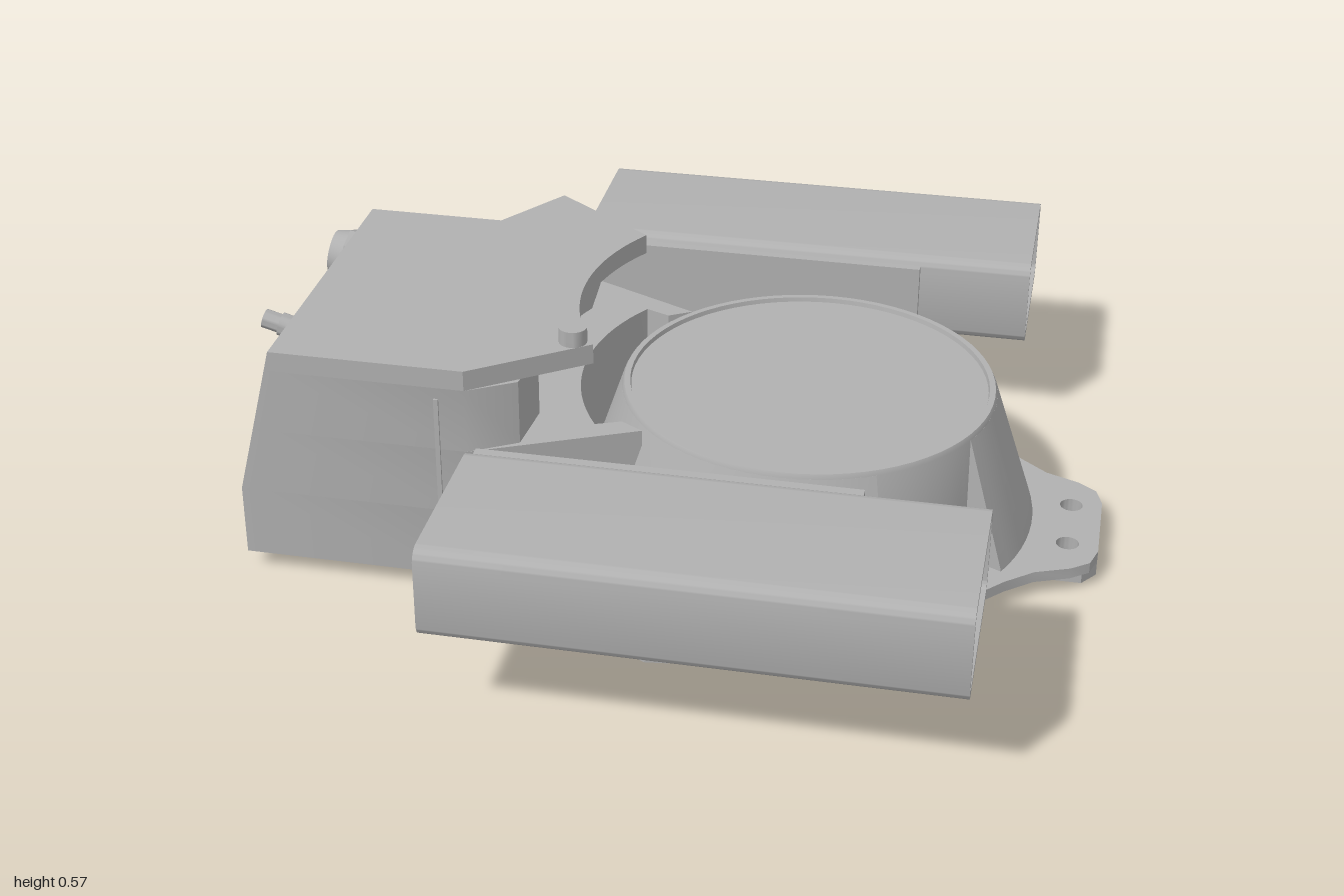
import * as THREE from 'three';
import { toCreasedNormals } from 'three/addons/utils/BufferGeometryUtils.js';

const CX = 0.345; // axis of the round base
const metal = new THREE.MeshStandardMaterial({ color: 0xb0b0b0, side: THREE.DoubleSide });
metal.name = 'greyMetal';

export function createModel() {
  const root = new THREE.Group();
  root.name = 'sensorUnit';

  const add = (name, geo, x = 0, y = 0, z = 0, parent = root) => {
    const m = new THREE.Mesh(toCreasedNormals(geo, 0.6), metal);
    m.name = name;
    m.position.set(x, y, z);
    parent.add(m);
    return m;
  };
  const shapeOf = pts => new THREE.Shape(pts.map(p => new THREE.Vector2(p[0], p[1])));
  const hole = (shape, x, y, r) => shape.holes.push(new THREE.Path().absarc(x, y, r, 0, Math.PI * 2, true));
  // Plan outline (x, z) raised from y0 to y1
  const slab = (shape, y0, y1) => {
    const g = new THREE.ExtrudeGeometry(shape, { depth: y1 - y0, bevelEnabled: false, curveSegments: 16 });
    return g.rotateX(Math.PI / 2).translate(0, y1, 0);
  };
  const box = (name, x0, x1, y0, y1, z0, z1) =>
    add(name, new THREE.BoxGeometry(x1 - x0, y1 - y0, z1 - z0), (x0 + x1) / 2, (y0 + y1) / 2, (z0 + z1) / 2);
  // Cylinder between two points
  const rod = (name, a, b, r, sides = 24, r2 = r) => {
    const A = new THREE.Vector3(...a), B = new THREE.Vector3(...b), d = B.clone().sub(A);
    const m = add(name, new THREE.CylinderGeometry(r2, r, d.length(), sides));
    m.position.copy(A).add(B).multiplyScalar(0.5);
    m.quaternion.setFromUnitVectors(new THREE.Vector3(0, 1, 0), d.normalize());
    return m;
  };
  const lathe = (pts, seg = 72, start = 0, len = Math.PI * 2) =>
    new THREE.LatheGeometry(pts.map(p => new THREE.Vector2(p[0], p[1])), seg, start, len);

  // Round base: flange, drum with a recessed lid
  add('baseFlange', lathe([[0, 0.02], [0.5, 0.02], [0.5, 0.035], [0.52, 0.035], [0.52, 0.06], [0.4, 0.06]]), CX);
  add('drum', lathe([[0.415, 0.05], [0.41, 0.35], [0.405, 0.36], [0.392, 0.36], [0.39, 0.35], [0, 0.35]]), CX);

  // Sloping skirt, interrupted by two pockets
  const wedge = [[0.38, 0.05], [0.508, 0.05], [0.505, 0.065], [0.41, 0.35], [0.38, 0.35]];
  const rad = Math.PI / 180;
  for (const [a0, a1] of [[-26, 26], [62, 298]]) {
    add('skirt', lathe([...wedge, wedge[0]], Math.round((a1 - a0) / 4), Math.PI / 2 - a1 * rad, (a1 - a0) * rad), CX);
    for (const a of [a0, a1]) add('skirtEnd', new THREE.ShapeGeometry(shapeOf(wedge)).rotateY(-a * rad), CX);
  }

  // Three mounting lugs with foot pads
  for (let i = 0; i < 3; i++) {
    const lug = new THREE.Group();
    lug.name = 'mountingLug';
    lug.position.x = CX;
    lug.rotation.y = (i * Math.PI * 2) / 3;
    root.add(lug);
    const half = [[0.32, 0.41], [0.41, 0.32], [0.465, 0.26], [0.525, 0.21], [0.6, 0.18], [0.64, 0.15], [0.655, 0.1]];
    const mirror = pts => [...pts, ...pts.slice().reverse().map(p => [p[0], -p[1]])];
    const plate = shapeOf(mirror(half));
    const pad = shapeOf(mirror([[0.5, 0.14], [0.625, 0.14], [0.655, 0.1]]));
    for (const s of [plate, pad]) for (const z of [-0.08, 0.08]) hole(s, 0.588, z, 0.025);
    add('lugPlate', slab(plate, 0.035, 0.06), 0, 0, 0, lug);
    add('footPad', slab(pad, 0, 0.035), 0, 0, 0, lug);
  }

  // Housing: stacked plans with a concave face around the drum and a sloped end
  const arc = (R, zt) => {
    const a = Math.asin(zt / R), pts = [];
    for (let i = 0; i <= 20; i++) {
      const t = a - (2 * a * i) / 20;
      pts.push([CX - R * Math.cos(t), R * Math.sin(t)]);
    }
    return pts;
  };
  const housing = (name, y0, y1, shoulder, R, zt, notched) => {
    const back = notched ? [[-0.42, -0.28], [-0.815, -0.28]] : [[-0.815, -0.45]];
    const front = [[-0.815, 0.44], [-0.31, 0.44], ...shoulder];
    const pts = [...front, ...arc(R, zt), ...shoulder.map(p => [p[0], -p[1]]), [-0.31, -0.445], ...back];
    const g = slab(shapeOf(pts), y0, y1), p = g.attributes.position;
    for (let i = 0; i < p.count; i++)
      if (p.getX(i) < -0.7) p.setX(i, p.getX(i) + Math.max(0, p.getY(i) - 0.2) * 0.25);
    g.computeVertexNormals();
    add(name, g);
  };
  housing('housingBase', 0.04, 0.2, [], 0.5, 0.3, false);
  housing('housingMiddle', 0.2, 0.35, [], 0.5, 0.3, true);
  housing('housingUpper', 0.35, 0.495, [[-0.21, 0.38]], 0.6, 0.25, true);
  housing('housingCap', 0.495, 0.54, [], 0.5, 0.27, true);
  box('frontSeam', -0.375, -0.365, 0.1, 0.47, 0.438, 0.445);
  rod('capKnob', [-0.12, 0.53, 0.265], [-0.12, 0.575, 0.265], 0.03);

  for (const s of [-1, 1]) {
    // Arm joining the housing to the drum
    const arm = [[-0.31, 0.44 * s], [0.03, 0.28 * s], [-0.02, 0.25 * s], [-0.31, 0.37 * s]];
    add('supportArm', slab(shapeOf(arm), 0.06, 0.35));

    // Hollow rectangular side rail
    const w = 0.1975, h = 0.1;
    const outline = (path, a, b, r) => {
      path.moveTo(a - r, -b);
      path.absarc(a - r, -b + r, r, -Math.PI / 2, 0, false);
      path.absarc(a - r, b - r, r, 0, Math.PI / 2, false);
      path.absarc(-a + r, b - r, r, Math.PI / 2, Math.PI, false);
      path.absarc(-a + r, -b + r, r, Math.PI, Math.PI * 1.5, false);
      path.closePath();
      return path;
    };
    const section = outline(new THREE.Shape(), w, h, 0.03);
    section.holes.push(outline(new THREE.Path(), w - 0.015, h - 0.015, 0.018));
    const rail = new THREE.ExtrudeGeometry(section, { depth: 1.065, bevelEnabled: false, curveSegments: 6 });
    add('sideRail', rail.rotateY(Math.PI / 2), -0.28, 0.315, 0.726 * s);

    // Bracket plate with two hanging tabs
    const plate = shapeOf([[-0.27, 0.4], [-0.27, 0.11], [-0.25, 0.09], [-0.15, 0.09], [-0.11, 0.12], [-0.09, 0.18],
      [-0.06, 0.205], [0.17, 0.205], [0.195, 0.18], [0.2, 0.11], [0.23, 0.085], [0.39, 0.085], [0.415, 0.11],
      [0.47, 0.18], [0.53, 0.21], [0.53, 0.4]]);
    const g = new THREE.ExtrudeGeometry(plate, { depth: 0.022, bevelEnabled: false });
    add('railBracket', g, 0, 0, 0.514 * s - 0.011);

    // Spacers and bolts
    for (const [x, z0] of [[-0.21, 0.36], [0.39, 0.43]]) {
      rod('spacer', [x, 0.155, z0 * s], [x, 0.155, 0.51 * s], 0.038);
      rod('boltHead', [x + 0.06, 0.155, 0.51 * s], [x + 0.06, 0.155, 0.545 * s], 0.038);
      rod('boltEnd', [x, 0.155, 0.51 * s], [x, 0.155, 0.575 * s], 0.03, 6);
    }
  }

  // Large cable connector on the low step
  box('connectorFoot', -0.76, -0.5, 0.2, 0.23, -0.43, -0.31);
  box('connectorBody', -0.73, -0.54, 0.23, 0.38, -0.41, -0.325);
  rod('connectorBarrel', [-0.78, 0.365, -0.37], [-0.6, 0.34, -0.37], 0.05);
  rod('connectorNut', [-0.83, 0.37, -0.37], [-0.775, 0.362, -0.37], 0.065, 8);
  rod('connectorCollar', [-0.865, 0.375, -0.37], [-0.83, 0.37, -0.37], 0.052, 24, 0.06);
  box('latchLever', -0.68, -0.47, 0.31, 0.335, -0.415, -0.32);

  // Slim cable plug at the sloped end
  box('plugBlock', -0.815, -0.73, 0.16, 0.28, -0.28, -0.17);
  rod('plugBody', [-0.93, 0.242, -0.215], [-0.79, 0.205, -0.215], 0.023);
  rod('plugRing', [-0.955, 0.248, -0.215], [-0.925, 0.24, -0.215], 0.028);
  rod('plugTip', [-0.995, 0.259, -0.215], [-0.95, 0.247, -0.215], 0.023);

  return root;
}
